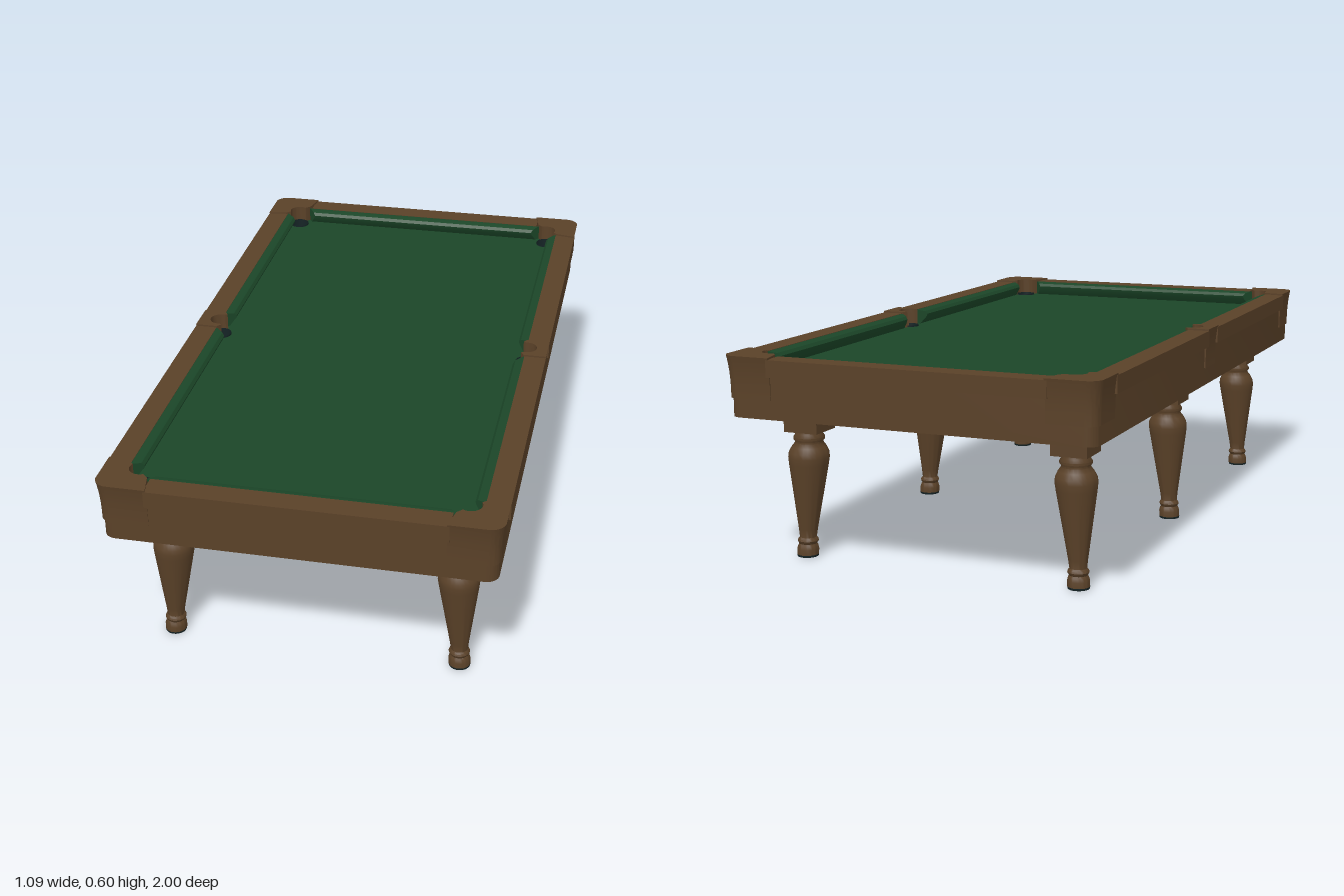
import * as THREE from 'three';
import { toCreasedNormals } from 'three/addons/utils/BufferGeometryUtils.js';

const mat = (name, color, side = THREE.FrontSide) => {
  const m = new THREE.MeshStandardMaterial({ color, side });
  m.name = name;
  return m;
};
const wood = mat('brown wood', 0x5a4128);
const cloth = mat('green cloth', 0x1b4628);
const dark = mat('dark underside', 0x343632);
const leather = mat('black leather', 0x152325, THREE.DoubleSide);

const POCKETS = [];
for (const sx of [-1, 1]) for (const sz of [-1, 0, 1]) {
  POCKETS.push({ sx, sz, x: sx * (sz ? 0.443 : 0.48), z: sz * 0.893 });
}
const R = 0.032;

export function createModel() {
  const model = new THREE.Group();
  model.name = 'billiardTable';

  const add = (name, geo, material, parent = model) => {
    const mesh = new THREE.Mesh(geo, material);
    mesh.name = name;
    parent.add(mesh);
    return mesh;
  };

  // Extrudes a plan outline (x, z) between two heights
  const slab = (shape, y0, y1, steps = 1) => new THREE.ExtrudeGeometry(shape, {
    depth: y1 - y0, steps, bevelEnabled: false, curveSegments: 10,
  }).rotateX(Math.PI / 2).translate(0, y1, 0);

  const roundedRect = (a, b, r) => {
    const s = new THREE.Shape();
    s.absarc(a - r, b - r, r, 0, Math.PI / 2);
    s.absarc(r - a, b - r, r, Math.PI / 2, Math.PI);
    s.absarc(r - a, r - b, r, Math.PI, Math.PI * 1.5);
    s.absarc(a - r, r - b, r, Math.PI * 1.5, Math.PI * 2);
    s.closePath();
    return s;
  };

  // Thick skirt frame, its opening scooped out around every pocket
  const skirt = roundedRect(0.532, 0.986, 0.035);
  const opening = new THREE.Path();
  const H = Math.PI / 2;
  opening.absarc(0.48, 0, R, -1.72, 1.72);
  opening.absarc(0.443, 0.893, R, 0, H);
  opening.absarc(-0.443, 0.893, R, H, 2 * H);
  opening.absarc(-0.48, 0, R, Math.PI - 1.72, Math.PI + 1.72);
  opening.absarc(-0.443, -0.893, R, 2 * H, 3 * H);
  opening.absarc(0.443, -0.893, R, 3 * H, 4 * H);
  opening.closePath();
  skirt.holes.push(opening);
  add('skirt', toCreasedNormals(slab(skirt, 0.432, 0.55), 0.6), wood);

  // Bed with pocket openings, covered with cloth
  const bed = roundedRect(0.514, 0.965, 0.02);
  for (const p of POCKETS) {
    bed.holes.push(new THREE.Path().absarc(p.x, p.z, R, 0, Math.PI * 2, true));
  }
  add('bedSlab', slab(bed, 0.54, 0.546), dark);
  add('bedCloth', slab(bed, 0.546, 0.552), cloth);

  // Wooden rails
  for (const s of [-1, 1]) {
    add('endRail', new THREE.BoxGeometry(0.81, 0.048, 0.067).translate(0, 0.574, s * 0.9655), wood);
    for (const t of [-1, 1]) {
      add('sideRail', new THREE.BoxGeometry(0.065, 0.048, 0.82).translate(s * 0.5125, 0.574, t * 0.455), wood);
    }
  }

  // Cushions: a wedge profile whose ends are mitred toward the nose
  const cushion = (length, x, z, turn) => {
    const profile = new THREE.Shape([
      [0, 0.551], [0, 0.597], [-0.008, 0.597], [-0.025, 0.592],
      [-0.032, 0.583], [-0.029, 0.574], [-0.012, 0.551],
    ].map(([u, y]) => new THREE.Vector2(u, y)));
    const geo = new THREE.ExtrudeGeometry(profile, { depth: length, bevelEnabled: false })
      .translate(0, 0, -length / 2);
    const p = geo.attributes.position;
    for (let i = 0; i < p.count; i++) {
      p.setZ(i, p.getZ(i) + Math.sign(p.getZ(i)) * p.getX(i) * 0.8);
    }
    const mesh = add('cushion', toCreasedNormals(geo, 0.5), cloth);
    mesh.position.set(x, 0, z);
    mesh.rotation.y = turn;
  };
  for (const s of [-1, 1]) {
    for (const t of [-1, 1]) cushion(0.825, s * 0.481, t * 0.46, s > 0 ? 0 : Math.PI);
    cushion(0.83, 0, s * 0.934, -s * Math.PI / 2);
  }

  // Pocket castings flare outward toward the top in a concave sweep
  const flare = (geo) => {
    const p = geo.attributes.position;
    const pull = (v, inner, outer, d) => {
      const k = THREE.MathUtils.clamp((Math.abs(v) - inner) / (outer - inner), 0, 1);
      return v - Math.sign(v) * d * k;
    };
    for (let i = 0; i < p.count; i++) {
      const t = THREE.MathUtils.clamp((0.603 - p.getY(i)) / 0.118, 0, 1);
      const d = 1 - (1 - t) ** 2.5;
      p.setX(i, pull(p.getX(i), 0.48, 0.545, 0.009 * d));
      p.setZ(i, pull(p.getZ(i), 0.935, 1, 0.01 * d));
    }
    return toCreasedNormals(geo, 0.6);
  };
  const arc = (cx, cz, r, a0, a1, n = 12) => Array.from({ length: n + 1 }, (_, i) => {
    const a = a0 + (a1 - a0) * i / n;
    return [cx + r * Math.cos(a), cz + r * Math.sin(a)];
  });
  const cornerPlan = [
    [0.398, 1], ...arc(0.505, 0.96, 0.04, Math.PI / 2, 0), [0.545, 0.855], [0.484, 0.866],
    ...arc(0.443, 0.893, R, -0.5, 2.1), [0.412, 0.936],
  ];
  const sidePlan = [
    [0.545, -0.05], [0.545, 0.05], [0.478, 0.05], [0.468, 0.036],
    ...arc(0.48, 0, R, 1.75, -1.75), [0.468, -0.036], [0.478, -0.05],
  ];

  for (const { sx, sz, x, z } of POCKETS) {
    const plan = (sz ? cornerPlan : sidePlan)
      .map(([px, pz]) => new THREE.Vector2(sx * px, (sz || 1) * pz));
    add(sz ? 'cornerCasting' : 'sideCasting',
      flare(slab(new THREE.Shape(plan), 0.485, 0.603, 8)), wood);

    // Pocket cup ending just below the skirt
    const pocket = new THREE.Group();
    pocket.name = 'pocket';
    pocket.position.set(x, 0, z);
    model.add(pocket);
    add('pocketCup', new THREE.CylinderGeometry(R - 0.001, R - 0.002, 0.128, 24, 1, true)
      .translate(0, 0.492, 0), leather, pocket);
    add('pocketFloor', new THREE.CircleGeometry(R - 0.002, 24)
      .rotateX(-Math.PI / 2).translate(0, 0.428, 0), leather, pocket);
  }

  // Turned legs, splayed slightly outward
  const legProfile = [
    [0.031, 0.006], [0.031, 0.022], [0.028, 0.032], [0.025, 0.037], [0.028, 0.041],
    [0.030, 0.046], [0.028, 0.051], [0.024, 0.056], [0.027, 0.08], [0.056, 0.27],
    [0.0585, 0.29], [0.057, 0.304], [0.049, 0.32], [0.040, 0.332], [0.040, 0.336],
    [0.0445, 0.342], [0.0445, 0.348], [0.039, 0.357], [0.037, 0.368],
  ].map(([r, y]) => new THREE.Vector2(r, y));

  for (const sx of [-1, 1]) for (const sz of [-1, 0, 1]) {
    const leg = new THREE.Group();
    leg.name = 'leg';
    leg.position.set(sx * 0.414, 0, sz * 0.79);
    model.add(leg);
    const splay = (geo) => {
      const p = geo.attributes.position;
      for (let i = 0; i < p.count; i++) {
        const k = p.getY(i) / 0.37;
        p.setX(i, p.getX(i) - sx * 0.012 * k);
        p.setZ(i, p.getZ(i) - sz * 0.006 * k);
      }
      return geo;
    };
    add('turnedLeg', toCreasedNormals(splay(new THREE.LatheGeometry(legProfile, 28)), 0.7), wood, leg);
    add('footPad', new THREE.CylinderGeometry(0.031, 0.03, 0.006, 28).translate(0, 0.003, 0), leather, leg);
    add('legBlock', new THREE.BoxGeometry(0.104, 0.175, 0.104)
      .translate(-sx * 0.013, 0.4535, -sz * 0.006), wood, leg);
  }

  return model;
}
